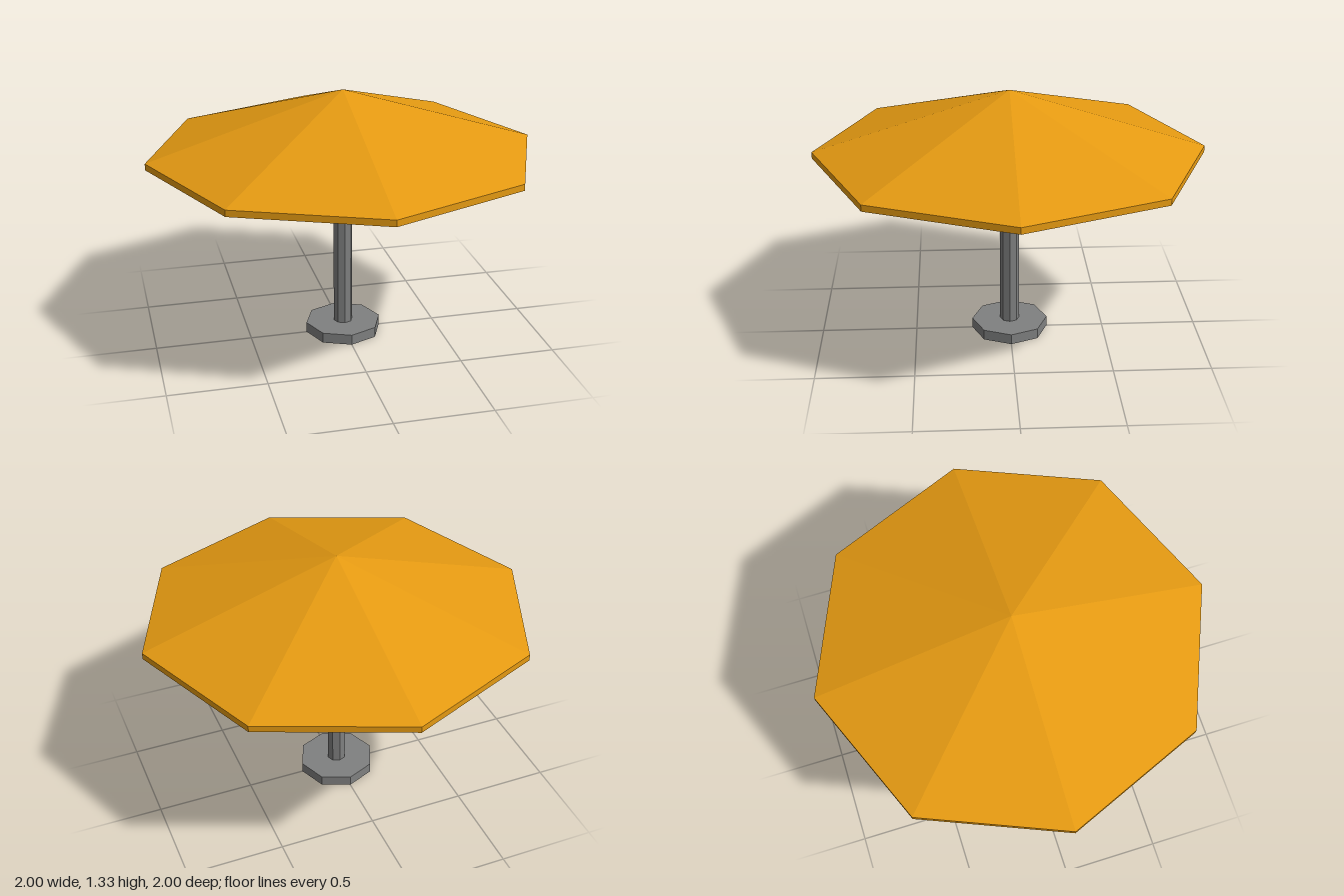
import * as THREE from 'three';

const SIDES = 8;

// Eight-sided turned part from [radius, height] pairs, listed bottom to top on the outside
function turned(name, profile, material) {
  const points = profile.map(([r, y]) => new THREE.Vector2(r, y));
  const mesh = new THREE.Mesh(new THREE.LatheGeometry(points, SIDES), material);
  mesh.name = name;
  return mesh;
}

export function createModel() {
  const orangeCloth = new THREE.MeshStandardMaterial({ color: 0xe59a12, flatShading: true });
  const greyMetal = new THREE.MeshStandardMaterial({
    color: 0x7f8080, flatShading: true, side: THREE.DoubleSide,
  });

  const parasol = new THREE.Group();
  parasol.name = 'parasol';
  parasol.add(
    // Hollow foot, open underneath, with a hole below the pole
    turned('base', [[0.2, 0], [0.2, 0.055], [0.04, 0.055]], greyMetal),
    // Open tube up to the underside of the canopy
    turned('pole', [[0.05, 0.055], [0.05, 1.29]], greyMetal),
    // Thick canopy: underside, rim band, top
    turned('canopy', [[0, 1.3], [1, 0.985], [1, 1.018], [0, 1.33]], orangeCloth),
  );
  return parasol;
}
